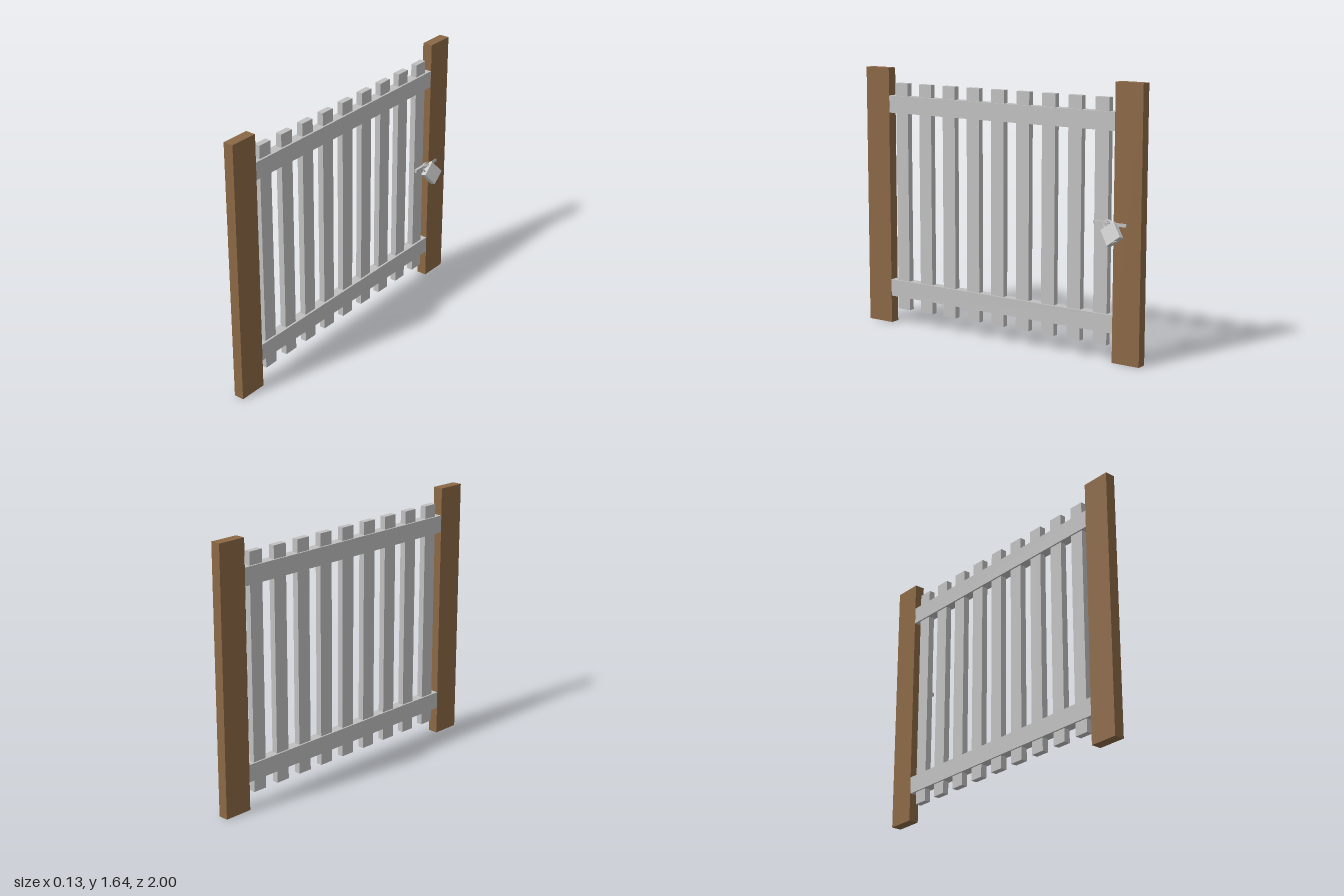
import * as THREE from 'three';

const wood = new THREE.MeshStandardMaterial({ color: 0x8b6845 });
wood.name = 'brown wood';
const paint = new THREE.MeshStandardMaterial({ color: 0xc0c0c0 });
paint.name = 'grey paint';
const steel = new THREE.MeshStandardMaterial({ color: 0xcacaca });
steel.name = 'light steel';

function add(parent, name, geometry, material, x, y, z) {
  const mesh = new THREE.Mesh(geometry, material);
  mesh.name = name;
  mesh.position.set(x, y, z);
  parent.add(mesh);
  return mesh;
}

// Padlock in its own frame: x across, y towards the shackle, z through the thickness
function createPadlock() {
  const lock = new THREE.Group();
  lock.name = 'padlock';
  const w = 0.104, h = 0.106, t = 0.04;

  // Body with chamfered long edges
  const bevel = 0.004;
  const outline = new THREE.Shape();
  outline.moveTo(-w / 2 + bevel, -t / 2);
  for (const [x, y] of [
    [w / 2 - bevel, -t / 2], [w / 2, -t / 2 + bevel], [w / 2, t / 2 - bevel], [w / 2 - bevel, t / 2],
    [-w / 2 + bevel, t / 2], [-w / 2, t / 2 - bevel], [-w / 2, -t / 2 + bevel],
  ]) outline.lineTo(x, y);
  const bodyGeometry = new THREE.ExtrudeGeometry(outline, { depth: h, bevelEnabled: false });
  bodyGeometry.rotateX(-Math.PI / 2);
  add(lock, 'padlockBody', bodyGeometry, steel, 0, -h / 2, 0);

  // Keyhole boss underneath
  const boss = new THREE.CylinderGeometry(0.014, 0.014, 0.004, 12);
  add(lock, 'keyholeBoss', boss, steel, 0, -h / 2 - 0.002, 0);

  // U-shaped shackle
  const r = 0.025, base = h / 2 - 0.005, shoulder = h / 2 + 0.012;
  const path = new THREE.CurvePath();
  path.add(new THREE.LineCurve3(new THREE.Vector3(-r, base, 0), new THREE.Vector3(-r, shoulder, 0)));
  const arc = [];
  for (let i = 0; i <= 8; i++) {
    const a = Math.PI * (1 - i / 8);
    arc.push(new THREE.Vector3(r * Math.cos(a), shoulder + r * Math.sin(a), 0));
  }
  path.add(new THREE.CatmullRomCurve3(arc));
  path.add(new THREE.LineCurve3(new THREE.Vector3(r, shoulder, 0), new THREE.Vector3(r, base, 0)));
  add(lock, 'shackle', new THREE.TubeGeometry(path, 28, 0.006, 8), steel, 0, 0, 0);

  // Hang it tilted outwards and swung to one side
  const up = new THREE.Vector3(-0.3, 0.75, 0.585).normalize();
  const across = new THREE.Vector3(-0.05, 0.6, -0.8);
  across.addScaledVector(up, -across.dot(up)).normalize();
  const out = new THREE.Vector3().crossVectors(across, up);
  lock.quaternion.setFromRotationMatrix(new THREE.Matrix4().makeBasis(across, up, out));
  lock.position.set(0.024, 0.767, -0.822);
  return lock;
}

export function createModel() {
  const model = new THREE.Group();
  model.name = 'gate';
  const midX = -0.032;

  // Posts at both ends
  for (const side of [1, -1]) {
    add(model, 'post', new THREE.BoxGeometry(0.064, 1.637, 0.18), wood, midX, 0.8185, side * 0.91);
  }

  // Rails
  add(model, 'bottomRail', new THREE.BoxGeometry(0.062, 0.108, 1.64), paint, midX, 0.229, 0);
  add(model, 'topRail', new THREE.BoxGeometry(0.062, 0.108, 1.64), paint, midX, 1.411, 0);

  // Nine pickets
  for (let i = -4; i <= 4; i++) {
    add(model, 'picket', new THREE.BoxGeometry(0.039, 1.45, 0.092), paint, midX - 0.001, 0.82, i * 0.182);
  }

  // Hasp bar bridging the last picket and the post, with its staple
  add(model, 'haspBar', new THREE.BoxGeometry(0.018, 0.02, 0.22), paint, -0.005, 0.821, -0.795);
  const staple = add(model, 'staple', new THREE.TorusGeometry(0.012, 0.004, 6, 12), steel, 0.004, 0.828, -0.785);
  staple.rotation.x = Math.PI / 2;

  model.add(createPadlock());
  return model;
}
